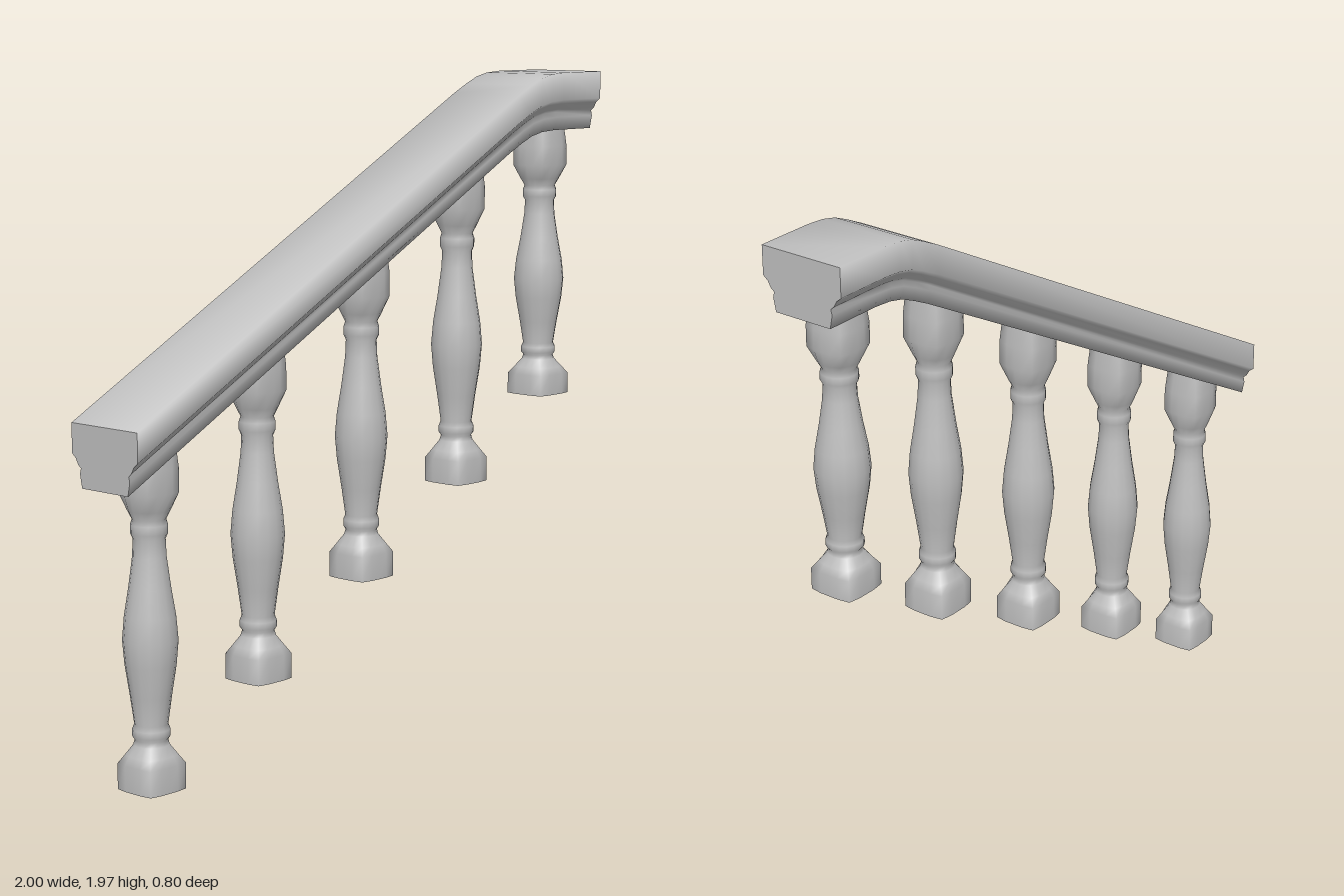
import * as THREE from 'three';

const stone = new THREE.MeshStandardMaterial({ color: 0xc0c0c0 });
stone.name = 'stone grey';

// Skin equal-sized rings of Vector3, counter-clockwise about the sweep, with flat caps.
// toPlane maps a point to 2D so that the 2D normal points along the sweep.
function loft(rings, toPlane) {
  const n = rings[0].length, last = rings.length - 1, pos = [], idx = [];
  const addRing = r => r.forEach(p => pos.push(p.x, p.y, p.z));
  rings.forEach(addRing);
  for (let i = 0; i < last; i++)
    for (let j = 0; j < n; j++) {
      const a = i * n + j, b = i * n + (j + 1) % n, c = a + n, d = b + n;
      idx.push(a, b, d, a, d, c);
    }
  // caps use their own vertices so the ends stay crisp
  [rings[0], rings[last]].forEach((ring, end) => {
    const base = pos.length / 3;
    addRing(ring);
    const flat = ring.map(toPlane);
    for (const f of THREE.ShapeUtils.triangulateShape(flat, [])) {
      const [A, B, C] = f.map(k => flat[k]), [a, b, c] = f.map(k => base + k);
      const forward = (B.x - A.x) * (C.y - A.y) - (B.y - A.y) * (C.x - A.x) > 0;
      if (forward === (end === 1)) idx.push(a, b, c); else idx.push(a, c, b);
    }
  });
  const g = new THREE.BufferGeometry();
  g.setAttribute('position', new THREE.Float32BufferAttribute(pos, 3));
  g.setIndex(idx);
  g.computeVertexNormals();
  return g;
}

// Handrail: moulded section kept upright along a sloping line that levels out.
function railGeometry() {
  const half = [[0.133, 0], [0.133, -0.085], [0.118, -0.097], [0.108, -0.115],
    [0.097, -0.124], [0.101, -0.14], [0.093, -0.18]];
  const section = [...half.map(([w, h]) => [-w, h]).reverse(), ...half];
  const path = [[-1, 1.05], [0.6, 1.905], [0.66, 1.934], [0.71, 1.955], [0.76, 1.966], [0.82, 1.97], [1, 1.97]];
  return loft(
    path.map(([u, y]) => section.map(([w, h]) => new THREE.Vector3(u, y + h, w))),
    p => new THREE.Vector2(p.z, -p.y));
}

// Baluster: square foot and head blending into a round turned shaft.
function balusterGeometry() {
  // height, half width, squareness
  const levels = [[0, 0.074, 1], [0.075, 0.074, 1], [0.1, 0.064, 0.6], [0.13, 0.05, 0.1], [0.145, 0.047, 0],
    [0.155, 0.054, 0], [0.175, 0.054, 0], [0.19, 0.048, 0], [0.27, 0.059, 0], [0.36, 0.073, 0], [0.43, 0.079, 0],
    [0.5, 0.073, 0], [0.58, 0.06, 0], [0.67, 0.048, 0], [0.72, 0.046, 0], [0.735, 0.053, 0], [0.76, 0.053, 0],
    [0.775, 0.048, 0], [0.8, 0.059, 0.1], [0.85, 0.069, 0.75], [0.92, 0.068, 0.8], [0.99, 0.061, 0.8]];
  const sides = 16;
  return loft(
    levels.map(([y, r, q]) => Array.from({ length: sides }, (_, j) => {
      const a = j / sides * Math.PI * 2, c = Math.cos(a), s = Math.sin(a);
      const square = Math.min(1 / Math.max(Math.abs(c), Math.abs(s)), 1.3);
      const k = r * (1 + (square - 1) * q);
      return new THREE.Vector3(s * k, y, c * k);
    })),
    p => new THREE.Vector2(p.z, p.x));
}

export function createModel() {
  const model = new THREE.Group();
  model.name = 'stairBalustrade';
  const run = new THREE.Group();
  run.name = 'balustradeRun';
  run.rotation.y = 0.276;
  model.add(run);

  const rail = new THREE.Mesh(railGeometry(), stone);
  rail.name = 'handrail';
  run.add(rail);

  const geometry = balusterGeometry();
  // position along the run, foot height, vertical scale
  [[-0.838, 0, 1], [-0.411, 0.24, 1], [0.03, 0.475, 1], [0.465, 0.71, 1], [0.865, 0.945, 0.86]]
    .forEach(([u, y, k], i) => {
      const baluster = new THREE.Mesh(geometry, stone);
      baluster.name = 'baluster' + (i + 1);
      baluster.position.set(u, y, 0);
      baluster.scale.y = k;
      run.add(baluster);
    });
  return model;
}
